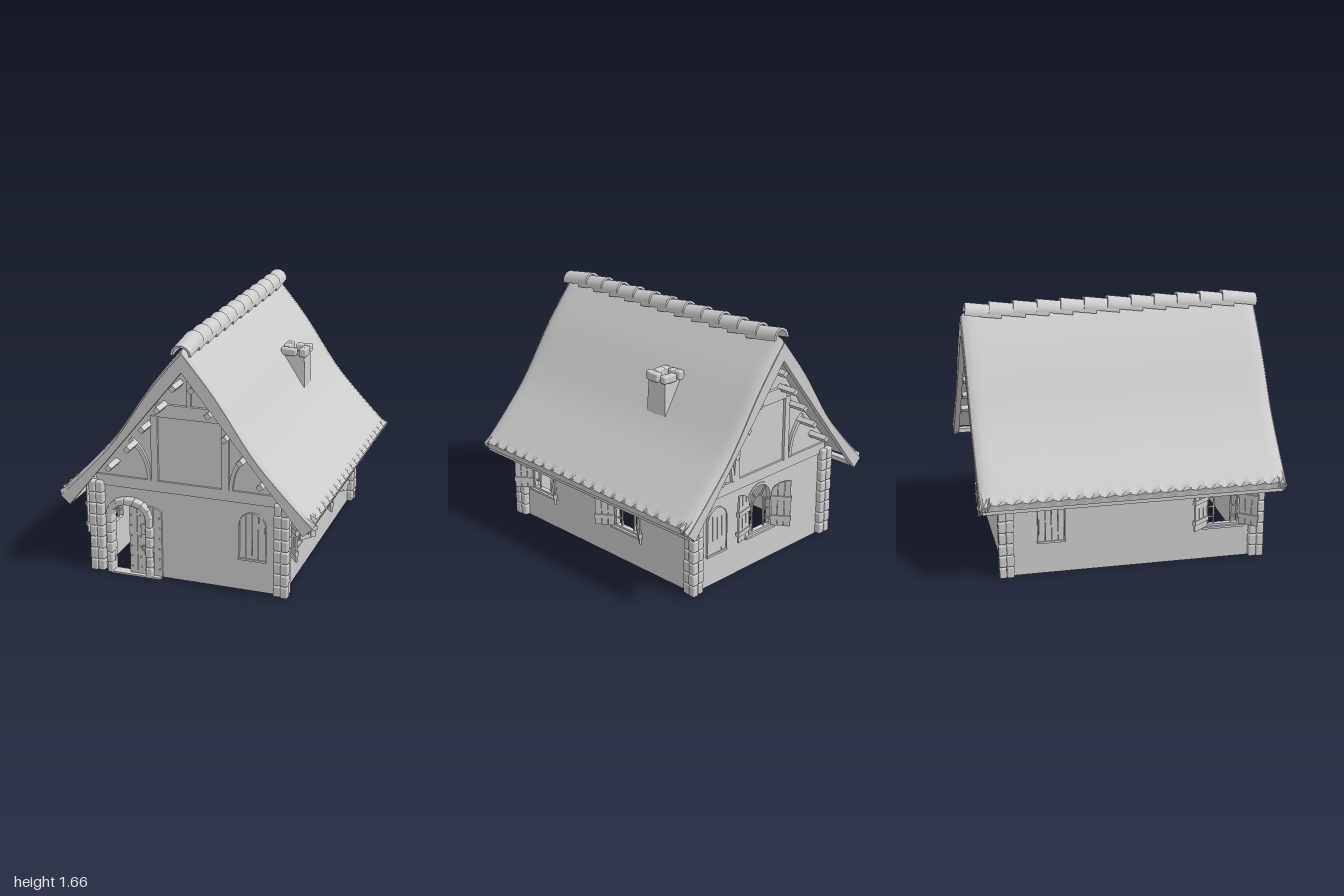
import * as THREE from 'three';
import { toCreasedNormals } from 'three/addons/utils/BufferGeometryUtils.js';
import { RoundedBoxGeometry } from 'three/addons/geometries/RoundedBoxGeometry.js';

const grey = new THREE.MeshStandardMaterial({ color: 0xcccccc, side: THREE.DoubleSide });
grey.name = 'plain grey';

let seed = 7;
const rnd = (a, b) => {
  seed = (seed * 16807) % 2147483647;
  return a + (b - a) * (seed / 2147483647);
};

function add(parent, name, geo, x = 0, y = 0, z = 0) {
  const m = new THREE.Mesh(geo, grey);
  m.name = name;
  m.position.set(x, y, z);
  parent.add(m);
  return m;
}
function group(parent, name, x = 0, y = 0, z = 0) {
  const g = new THREE.Group();
  g.name = name;
  g.position.set(x, y, z);
  parent.add(g);
  return g;
}
const box = (p, name, w, h, d, x, y, z) => add(p, name, new THREE.BoxGeometry(w, h, d), x, y, z);
const stone = (p, w, h, d, x, y, z) =>
  add(p, 'stone', new RoundedBoxGeometry(w, h, d, 2, Math.min(w, h, d) * 0.22), x, y, z);
const shapeOf = (pts) => new THREE.Shape(pts.map(([x, y]) => new THREE.Vector2(x, y)));
const extrude = (shape, depth) =>
  new THREE.ExtrudeGeometry(shape, { depth, bevelEnabled: false, curveSegments: 10 });

// Outline of an arched opening: straight sides and a half-ellipse on top
function archPoints(cx, w, y0, ys, rise, n = 14) {
  const pts = [[cx - w / 2, y0], [cx + w / 2, y0]];
  for (let i = 0; i <= n; i++) {
    const a = (Math.PI * i) / n;
    pts.push([cx + (w / 2) * Math.cos(a), ys + rise * Math.sin(a)]);
  }
  return pts;
}
const archTop = (cx, hw, ys, rise) => (x) => ys + rise * Math.sqrt(Math.max(0, 1 - ((x - cx) / hw) ** 2));

// Vertical planks whose tops follow a curve
function planks(parent, x0, x1, n, y0, top, depth, z) {
  const w = (x1 - x0) / n;
  for (let i = 0; i < n; i++) {
    const a = x0 + i * w + 0.0015, b = x0 + (i + 1) * w - 0.0015;
    const pts = [[a, y0], [b, y0]];
    for (let k = 0; k <= 5; k++) pts.push([b + ((a - b) * k) / 5, top(b + ((a - b) * k) / 5)]);
    add(parent, 'plank', extrude(shapeOf(pts), depth), 0, 0, z);
  }
}

// Half of an arched shutter, hinged at x = 0 and swung away from the window
function shutter(parent, x, side, angle) {
  const hinge = group(parent, 'shutter', x, 0, 0.004);
  hinge.rotation.y = -side * angle;
  const w = 0.13, top = archTop(side * w, w, 0.46, 0.105);
  planks(hinge, Math.min(0, side * w), Math.max(0, side * w), 3, 0.235, top, 0.012, 0);
  for (const y of [0.295, 0.435]) box(hinge, 'shutterBar', w + 0.008, 0.03, 0.026, side * w / 2, y, 0.006);
}

function openWindow(wall, x, angles) {
  const g = group(wall, 'openWindow', x);
  const ring = (w, t, y0, ys, rise, depth, z) => {
    const s = shapeOf(archPoints(0, w, y0, ys, rise));
    s.holes.push(shapeOf(archPoints(0, w - 2 * t, y0 + t, ys, rise - t)));
    add(g, 'windowFrame', extrude(s, depth), 0, 0, z);
  };
  ring(0.235, 0.018, 0.225, 0.46, 0.115, 0.035, -0.03);
  ring(0.125, 0.009, 0.228, 0.43, 0.055, 0.012, -0.018);
  for (const s of [-1, 1]) {
    for (const y of [0.29, 0.36, 0.43]) box(g, 'glazingBar', 0.045, 0.008, 0.01, s * 0.081, y, -0.012);
    const ray = box(g, 'glazingBar', 0.008, 0.07, 0.01, s * 0.05, 0.505, -0.012);
    ray.rotation.z = -s * 0.6;
    shutter(g, s * 0.115, s, angles[s < 0 ? 0 : 1]);
  }
  box(g, 'sill', 0.28, 0.014, 0.045, 0, 0.222, 0);
}

function closedWindow(wall, x) {
  const g = group(wall, 'closedWindow', x);
  planks(g, -0.083, 0.083, 4, 0.225, archTop(0, 0.095, 0.45, 0.085), 0.012, 0);
  const s = shapeOf(archPoints(0, 0.18, 0.22, 0.45, 0.09));
  s.holes.push(shapeOf(archPoints(0, 0.168, 0.226, 0.45, 0.084)));
  add(g, 'windowFrame', extrude(s, 0.016));
  box(g, 'sill', 0.185, 0.014, 0.03, 0, 0.22, 0.005);
}

// A wall facing +z before it is turned; holes are arch outlines
function wall(parent, name, angle, d, outline, holes) {
  const g = group(parent, name, d * Math.sin(angle), 0, d * Math.cos(angle));
  g.rotation.y = angle;
  const s = shapeOf(outline);
  holes.forEach((h) => s.holes.push(shapeOf(h)));
  add(g, 'wallPanel', extrude(s, 0.03), 0, 0, -0.03);
  return g;
}
const windowHole = (x) => archPoints(x, 0.21, 0.235, 0.46, 0.105);
const gable = (x0, x1) => [[x0, 0], [x1, 0], [x1, 0.71], [0.446, 0.93], [0.22, 1.25], [0, 1.53],
  [-0.22, 1.25], [-0.446, 0.93], [x0, 0.71]];

function timbers(g, x0, x1) {
  box(g, 'tieBeam', x1 - x0, 0.074, 0.016, (x0 + x1) / 2, 0.637, 0.006);
  box(g, 'collarBeam', 0.44, 0.085, 0.03, 0, 1.15, 0.006);
  box(g, 'kingPost', 0.026, 0.28, 0.024, 0, 1.33, 0.006);
  for (const s of [-1, 1]) {
    box(g, 'post', 0.045, 0.44, 0.024, s * 0.236, 0.89, 0.006);
    const b = new THREE.Shape();
    b.moveTo(s * 0.262, 0.674);
    b.quadraticCurveTo(s * 0.262, 0.85, s * 0.39, 0.95);
    b.lineTo(s * 0.41, 0.92);
    b.quadraticCurveTo(s * 0.29, 0.85, s * 0.285, 0.674);
    add(g, 'curvedBrace', extrude(b, 0.02));
    for (const [x, y] of [[0.5, 0.77], [0.37, 0.91], [0.27, 1.05], [0.165, 1.19], [0.06, 1.34]]) {
      box(g, 'purlin', 0.035, 0.035, 0.15, s * x, y, 0.065).rotation.z = -s * 0.89;
    }
  }
}

// Roof line from ridge to eave
const roofLine = new THREE.SplineCurve([[0, 1.6], [0.22, 1.33], [0.446, 1.0], [0.63, 0.79], [0.84, 0.575]]
  .map(([x, y]) => new THREE.Vector2(x, y)));
const roofAt = (v) => {
  const p = roofLine.getPoint(Math.abs(v));
  return [Math.sign(v) * p.x, p.y];
};

function roofGeometry() {
  const rows = 16, zs = [[-0.988, 0.032], [-0.972, 0.014], [-0.945, 0.002]];
  for (let i = 0; i <= 38; i++) zs.push([-0.93 + (1.86 * i) / 38, 0]);
  zs.push([0.945, 0.002], [0.972, 0.014], [0.988, 0.032]);
  const pos = [], idx = [], n = 4 * rows + 2;
  zs.forEach(([z, drop], i) => {
    for (let j = 0; j < n; j++) {
      const under = j > 2 * rows;
      const v = under ? (3 * rows + 1 - j) / rows : (j - rows) / rows;
      const [x, y] = roofAt(v);
      const wave = (i % 2 ? 0.5 : -0.5) * (0.002 + 0.022 * Math.abs(v) ** 40);
      if (under) pos.push(x * 0.985, y - 0.045, z);
      else pos.push(x + Math.sign(v) * wave, y + wave - drop, z);
    }
  });
  for (let i = 0; i < zs.length - 1; i++) {
    for (let j = 0; j < n; j++) {
      const a = i * n + j, d = i * n + ((j + 1) % n);
      idx.push(a, a + n, d + n, a, d + n, d);
    }
  }
  const g = new THREE.BufferGeometry();
  g.setAttribute('position', new THREE.Float32BufferAttribute(pos, 3));
  g.setIndex(idx);
  return toCreasedNormals(g, 0.6);
}

function roof(parent) {
  const g = group(parent, 'roof');
  add(g, 'roofTiles', roofGeometry());
  // Boards closing both gable ends
  const pts = [];
  for (let j = -16; j <= 16; j++) {
    const [x, y] = roofAt(j / 16);
    pts.push([x * 0.995, y - 0.03]);
  }
  pts.push([0.775, 0.49], [0, 1.45], [-0.775, 0.49]);
  for (const z of [0.955, -0.992]) add(g, 'bargeBoard', extrude(shapeOf(pts), 0.037), 0, 0, z);
  for (const s of [-1, 1]) box(g, 'eaveBeam', 0.05, 0.03, 1.95, s * 0.785, 0.517, 0);
  // Overlapping half-round ridge tiles
  const arc = new THREE.Shape();
  arc.absarc(0, 0, 0.065, -0.1, Math.PI + 0.1, false);
  arc.absarc(0, 0, 0.05, Math.PI + 0.1, -0.1, true);
  const tile = toCreasedNormals(extrude(arc, 0.24).translate(0, 0, -0.24), 0.6);
  for (let i = 0; i < 12; i++) add(g, 'ridgeTile', tile, 0, 1.56, 0.997 - 0.157 * i).rotation.x = 0.14;
}

function chimney(parent) {
  const g = group(parent, 'chimney', 0.345, 0, -0.3);
  const stack = new THREE.CylinderGeometry(0.103, 0.122, 0.34, 4, 1, true).rotateY(Math.PI / 4).toNonIndexed();
  stack.computeVertexNormals();
  add(g, 'stack', stack, 0, 1.09, 0);
  for (let k = 0; k < 4; k++) {
    const side = group(g, 'chimneyCap');
    side.rotation.y = (k * Math.PI) / 2;
    stone(side, 0.075, rnd(0.05, 0.06), 0.05, -0.018, 1.27, 0.066);
    stone(side, 0.05, rnd(0.05, 0.062), 0.052, 0.064, 1.272, 0.064);
  }
}

function door(front) {
  const g = group(front, 'door');
  const top = archTop(-0.31, 0.14, 0.43, 0.06);
  planks(g, -0.42, -0.195, 4, 0.008, top, 0.016, 0.002);
  const rivet = new THREE.SphereGeometry(0.006, 8, 6);
  for (let c = 0; c < 4; c++)
    for (let r = 0; r < 6; r++) add(g, 'rivet', rivet, -0.404 + c * 0.064, 0.06 + r * 0.072, 0.019);
  box(g, 'lockPlate', 0.04, 0.07, 0.012, -0.315, 0.33, 0.022);
  add(g, 'handleRing', new THREE.TorusGeometry(0.018, 0.005, 6, 14), -0.312, 0.2, 0.026);
  box(g, 'threshold', 0.34, 0.012, 0.07, -0.37, 0.006, 0.012);
  // Stone surround
  for (const x of [-0.552, -0.278]) {
    for (let i = 0; i < 6; i++) stone(g, rnd(0.04, 0.05), 0.069, 0.07, x + rnd(-0.003, 0.003), 0.035 + i * 0.07, 0.012);
  }
  for (let i = 0; i < 7; i++) {
    const a = (Math.PI * (i + 0.5)) / 7;
    const s = stone(g, rnd(0.058, 0.066), 0.045, 0.07, -0.415 + 0.134 * Math.cos(a), 0.415 + 0.096 * Math.sin(a), 0.012);
    s.rotation.z = Math.atan2(Math.sin(a) / 0.096, Math.cos(a) / 0.134) - Math.PI / 2;
  }
}

function cornerStones(parent, x, z, sx, sz) {
  const g = group(parent, 'cornerStones', x, 0, z);
  const h = 0.63 / 8;
  for (let r = 0; r < 8; r++) {
    for (const [dx, dz] of [[0.021, 0.021], [-0.028, 0.016], [0.016, -0.028]]) {
      stone(g, rnd(0.046, 0.054), h * rnd(0.94, 1.02), rnd(0.046, 0.054), sx * dx, h * (r + 0.5), sz * dz);
    }
  }
}

export function createModel() {
  const house = new THREE.Group();
  house.name = 'cottage';

  const front = wall(house, 'frontWall', 0, 0.85, gable(-0.645, 0.61), [archPoints(-0.415, 0.23, 0.002, 0.42, 0.075)]);
  timbers(front, -0.64, 0.605);
  door(front);
  closedWindow(front, 0.412);

  const back = wall(house, 'backWall', Math.PI, 0.82, gable(-0.61, 0.645), [windowHole(0)]);
  timbers(back, -0.605, 0.64);
  closedWindow(back, -0.41);
  openWindow(back, 0, [0.2, 0.95]);

  const side = (a, b) => [[a, 0], [b, 0], [b, 0.7], [a, 0.7]];
  const right = wall(house, 'rightWall', Math.PI / 2, 0.61, side(-0.85, 0.82), [windowHole(-0.62), windowHole(0.215)]);
  openWindow(right, -0.62, [0.65, 0.65]);
  openWindow(right, 0.215, [0.65, 0.65]);
  const left = wall(house, 'leftWall', -Math.PI / 2, 0.645, side(-0.82, 0.85), [windowHole(0.62)]);
  openWindow(left, 0.62, [0.65, 0.65]);
  closedWindow(left, -0.52);

  for (const [x, sx] of [[-0.645, -1], [0.61, 1]])
    for (const [z, sz] of [[0.85, 1], [-0.82, -1]]) cornerStones(house, x, z, sx, sz);

  roof(house);
  chimney(house);
  return house;
}
